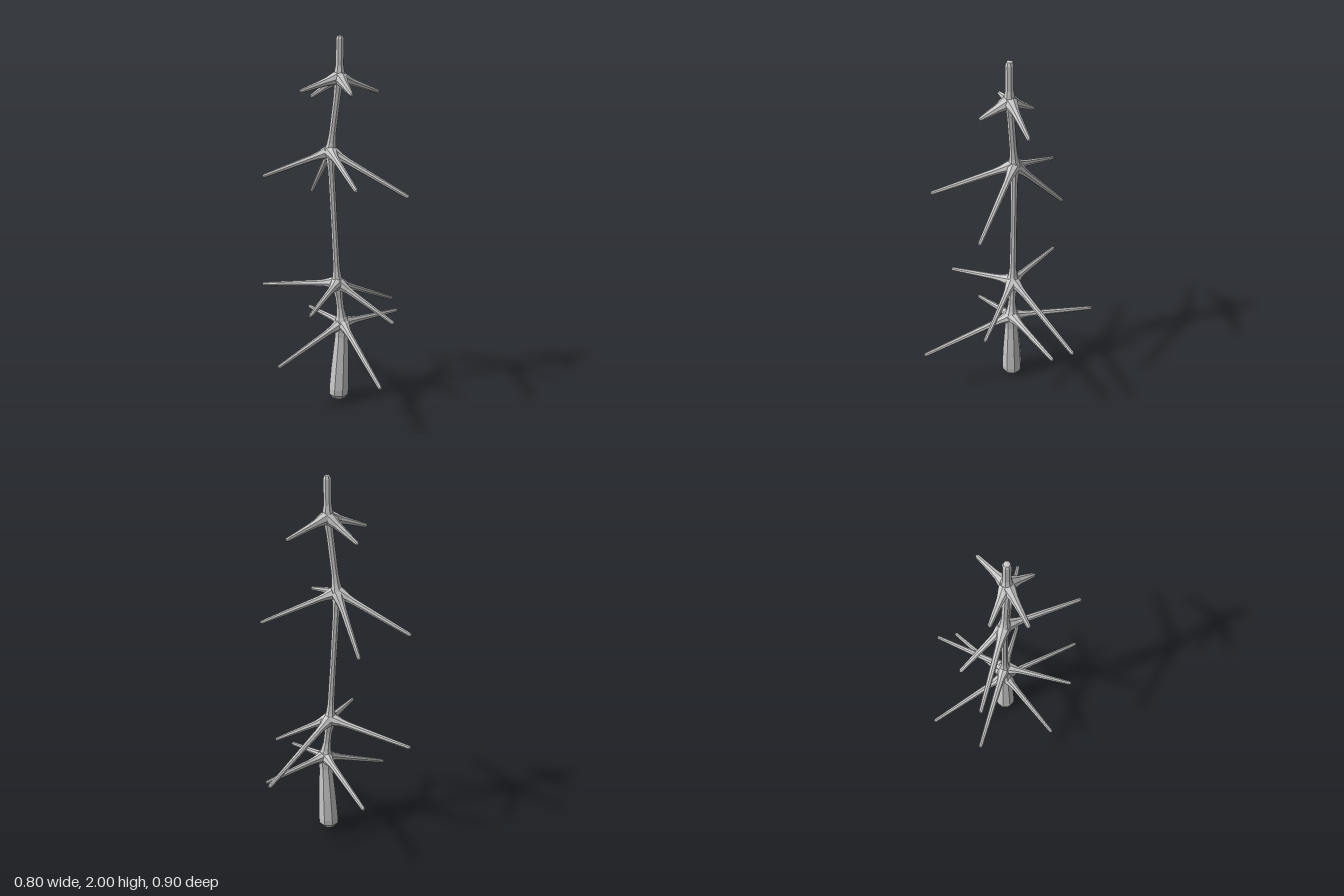
import * as THREE from 'three';

const SIDES = 8;
const material = new THREE.MeshStandardMaterial({ color: 0xcccccc, flatShading: true });

// Eight-sided turned form from [radius, height] pairs, bottom to top
const turned = (profile) =>
  new THREE.LatheGeometry(profile.map(([r, y]) => new THREE.Vector2(r, y)), SIDES, Math.PI / 8);

// Whorls of branches: hub centre and branch tips
const whorls = [
  { name: 'lowestWhorl', hub: [0.055, 0.455, -0.012],
    tips: [[-0.275, 0.29, 0.23], [-0.155, 0.38, -0.45], [0.265, 0.285, 0.45], [0.36, 0.432, -0.275]] },
  { name: 'lowerWhorl', hub: [0.028, 0.685, -0.015],
    tips: [[-0.40, 0.605, -0.20], [0.335, 0.465, -0.38], [0.335, 0.495, 0.095], [-0.095, 0.63, 0.35]] },
  { name: 'upperWhorl', hub: [-0.01, 1.405, -0.018],
    tips: [[-0.385, 1.23, -0.18], [-0.125, 1.13, -0.26], [0.135, 1.29, 0.39], [0.40, 1.19, 0.10]] },
  { name: 'topWhorl', hub: [0.037, 1.79, 0],
    tips: [[-0.16, 1.725, 0.08], [-0.115, 1.675, -0.10], [0.105, 1.715, 0.138], [0.24, 1.70, -0.12]] },
];

// Trunk centre line runs through the hubs
const centreLine = [[0.035, 0, -0.012], ...whorls.map((w) => w.hub), [0.04, 2, 0]];

function centreAt(y) {
  let i = 0;
  while (i < centreLine.length - 2 && y > centreLine[i + 1][1]) i++;
  const [a, b] = [centreLine[i], centreLine[i + 1]];
  const t = (y - a[1]) / (b[1] - a[1]);
  return [a[0] + (b[0] - a[0]) * t, a[2] + (b[2] - a[2]) * t];
}

// Trunk: thick foot, thin stem swelling at each hub, blunt tip
function createTrunk() {
  const geometry = turned([
    [0, 0.005], [0.035, 0.01], [0.055, 0.035], [0.058, 0.07], [0.052, 0.2], [0.039, 0.38],
    [0.042, 0.43], [0.042, 0.465], [0.03, 0.495], [0.022, 0.54],
    [0.022, 0.6], [0.032, 0.655], [0.037, 0.69], [0.027, 0.72], [0.02, 0.77],
    [0.018, 1.0], [0.019, 1.3], [0.026, 1.37], [0.034, 1.41], [0.025, 1.45], [0.02, 1.5],
    [0.02, 1.7], [0.025, 1.755], [0.034, 1.79], [0.028, 1.82], [0.022, 1.85],
    [0.022, 1.98], [0.016, 1.996], [0, 2],
  ]);
  const p = geometry.attributes.position;
  for (let i = 0; i < p.count; i++) {
    const [x, z] = centreAt(p.getY(i));
    p.setX(i, p.getX(i) + x);
    p.setZ(i, p.getZ(i) + z);
  }
  geometry.computeVertexNormals();
  const mesh = new THREE.Mesh(geometry, material);
  mesh.name = 'trunk';
  return mesh;
}

// Branch: flares into the hub and narrows to a rounded tip
function createBranch(hub, tip) {
  const start = new THREE.Vector3(...hub);
  const direction = new THREE.Vector3(...tip).sub(start);
  const length = direction.length();
  const mesh = new THREE.Mesh(turned([
    [0, 0], [0.036, 0.012], [0.03, 0.04], [0.022, 0.07], [0.018, 0.11],
    [0.011, length - 0.01], [0.007, length - 0.002], [0, length],
  ]), material);
  mesh.name = 'branch';
  mesh.position.copy(start);
  mesh.quaternion.setFromUnitVectors(new THREE.Vector3(0, 1, 0), direction.normalize());
  return mesh;
}

export function createModel() {
  const model = new THREE.Group();
  model.name = 'bareTree';
  model.add(createTrunk());
  for (const { name, hub, tips } of whorls) {
    const whorl = new THREE.Group();
    whorl.name = name;
    tips.forEach((tip) => whorl.add(createBranch(hub, tip)));
    model.add(whorl);
  }
  return model;
}
